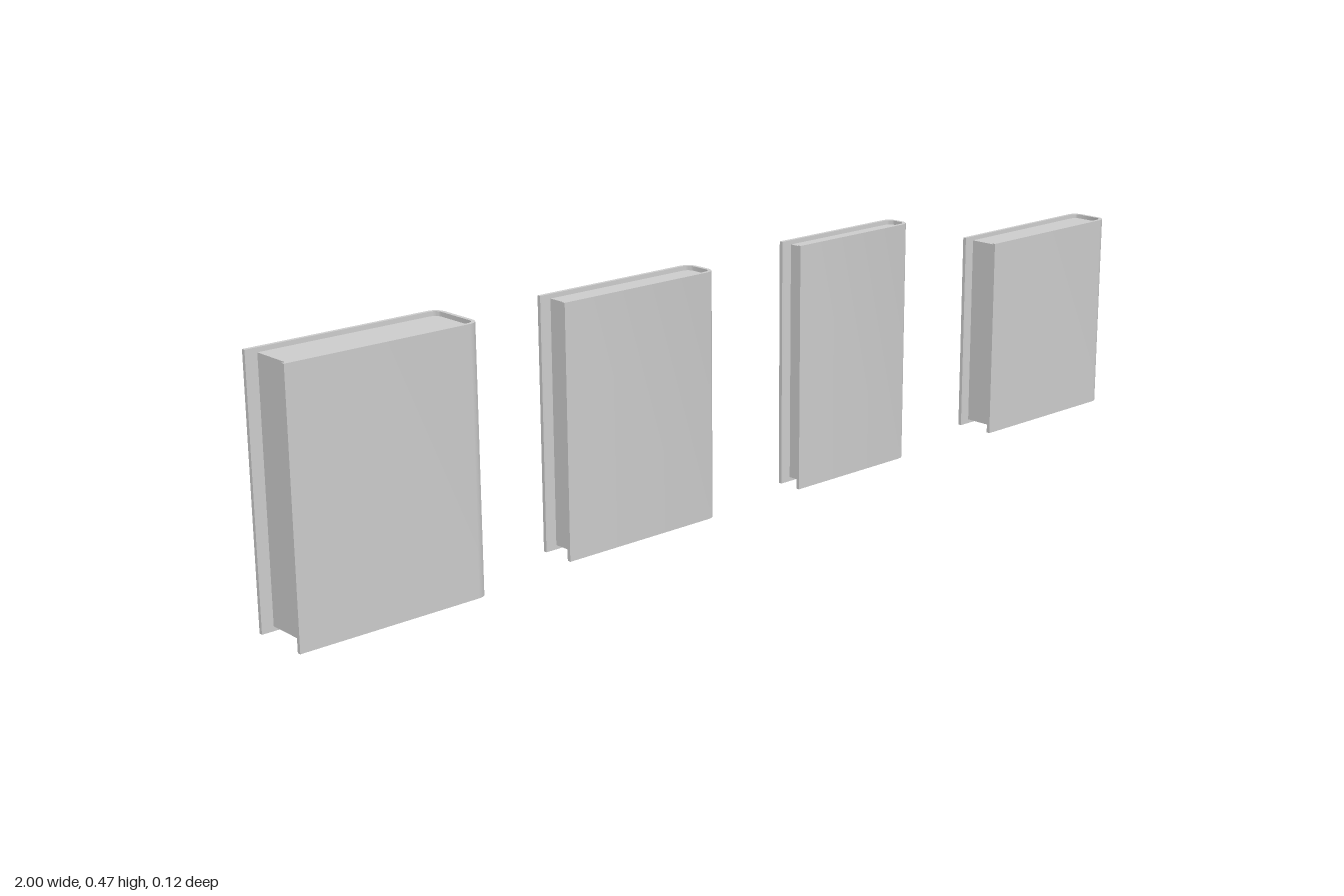
import * as THREE from 'three';
import { toCreasedNormals } from 'three/addons/utils/BufferGeometryUtils.js';

const COVER = 0.007;      // cover board thickness
const CORNER = 0.02;      // rounding along the spine
const FORE_INSET = 0.022; // pages set back from the open edge
const END_INSET = 0.008;  // pages set back from top and bottom

// Appends one rounded spine corner, from angle a0 to a1.
function corner(points, cx, cy, r, a0, a1, segments = 4) {
  for (let i = 0; i <= segments; i++) {
    const a = a0 + (a1 - a0) * i / segments;
    points.push(new THREE.Vector2(cx + r * Math.cos(a), cy + r * Math.sin(a)));
  }
}

// Plan outline open edge -> spine -> open edge.
function outline(x0, x1, half, r) {
  const points = [new THREE.Vector2(x0, -half)];
  corner(points, x1 - r, -half + r, r, -Math.PI / 2, 0);
  corner(points, x1 - r, half - r, r, 0, Math.PI / 2);
  points.push(new THREE.Vector2(x0, half));
  return points;
}

// Extrudes a plan outline upward from y0.
function upright(name, points, y0, height, material) {
  const geometry = new THREE.ExtrudeGeometry(new THREE.Shape(points), {
    depth: height, bevelEnabled: false,
  });
  geometry.rotateX(-Math.PI / 2).translate(0, y0, 0);
  const mesh = new THREE.Mesh(toCreasedNormals(geometry, Math.PI / 4), material);
  mesh.name = name;
  return mesh;
}

function createBook({ x0, x1, back, front, height }, material) {
  const book = new THREE.Group();
  const half = (front - back) / 2;
  const outer = outline(x0, x1, half, CORNER);
  const inner = outline(x0, x1 - COVER, half - COVER, CORNER - COVER);
  const block = outline(x0 + FORE_INSET, x1 - COVER, half - COVER, CORNER - COVER);
  // U-shaped cover wrapping the page block
  book.add(upright('cover', [...outer, ...inner.reverse()], 0, height, material));
  book.add(upright('pages', block, END_INSET, height - 2 * END_INSET, material));
  book.position.z = (front + back) / 2;
  return book;
}

export function createModel() {
  const model = new THREE.Group();
  model.name = 'books';
  const material = new THREE.MeshStandardMaterial({ color: 0xcccccc });
  const books = [
    { x0: -1, x1: -0.636, back: -0.058, front: 0.058, height: 0.464 },
    { x0: -0.44, x1: -0.098, back: -0.044, front: 0.028, height: 0.456 },
    { x0: 0.117, x1: 0.411, back: -0.033, front: 0.021, height: 0.466 },
    { x0: 0.647, x1: 1, back: -0.05, front: 0.033, height: 0.391 },
  ];
  books.forEach((spec, i) => {
    const book = createBook(spec, material);
    book.name = `book${i + 1}`;
    model.add(book);
  });
  return model;
}
